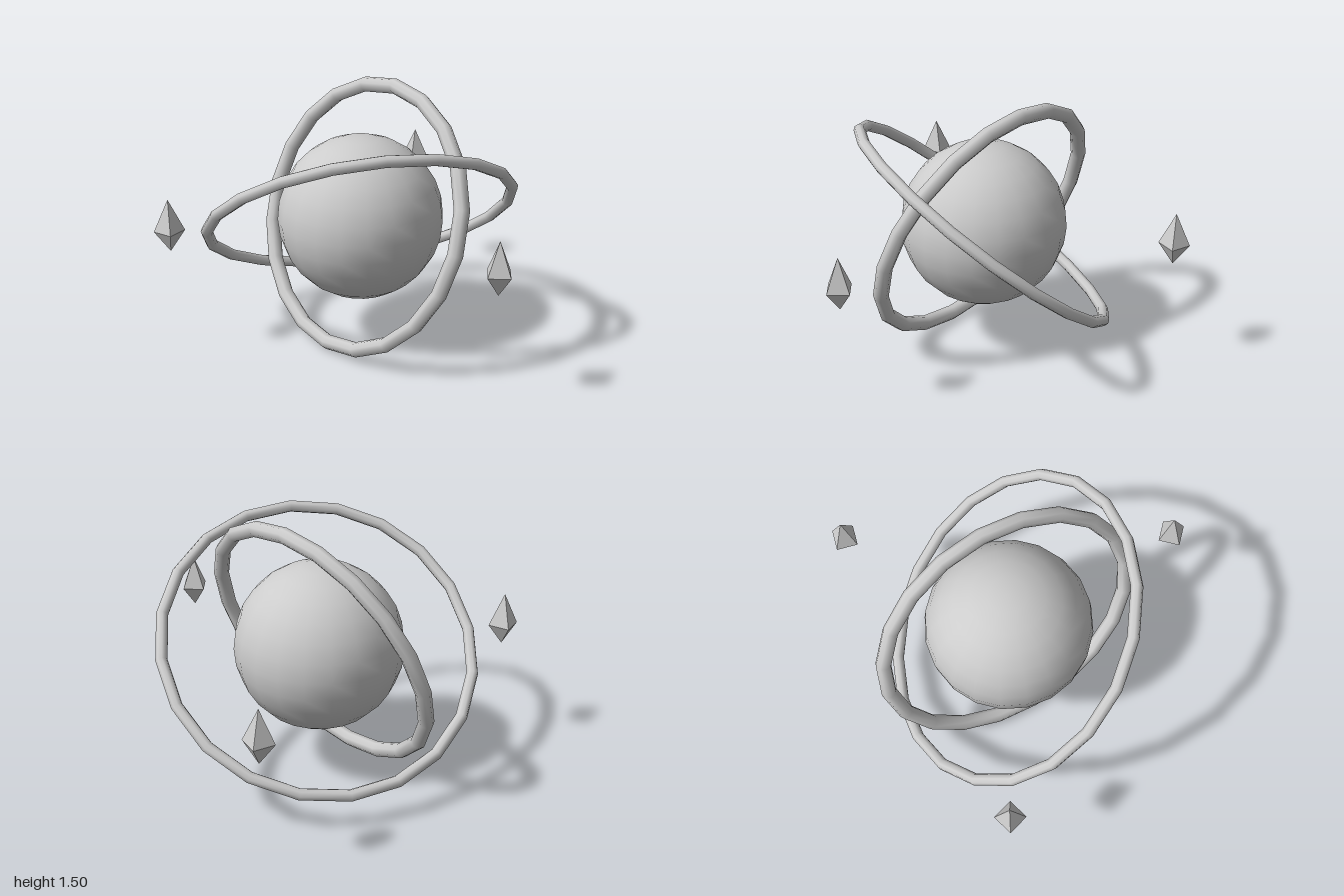
import * as THREE from 'three';

const grey = new THREE.MeshStandardMaterial({ color: 0xcccccc });
grey.name = 'plain grey';

function part(name, geometry) {
  const mesh = new THREE.Mesh(geometry, grey);
  mesh.name = name;
  return mesh;
}

// Four-sided crystal with a longer upper point and flat facets
function crystalGeometry() {
  const profile = [[0, -0.12], [0.085, 0], [0, 0.183]].map(([x, y]) => new THREE.Vector2(x, y));
  const geometry = new THREE.LatheGeometry(profile, 4).toNonIndexed();
  geometry.computeVertexNormals();
  return geometry;
}

export function createModel() {
  const model = new THREE.Group();
  model.name = 'ringedOrb';

  // Everything is arranged around the orb's centre
  const core = new THREE.Group();
  core.name = 'orbAssembly';
  core.position.set(-0.18, 0.755, 0);
  model.add(core);

  core.add(part('orb', new THREE.SphereGeometry(0.469, 20, 14)));

  // Upright ring leaning back
  const innerRing = part('innerRing', new THREE.TorusGeometry(0.755, 0.043, 8, 20));
  innerRing.rotation.x = -0.35;
  core.add(innerRing);

  // Wider, thinner ring tilted on two axes
  const outerRing = part('outerRing', new THREE.TorusGeometry(0.869, 0.033, 8, 20));
  outerRing.rotation.set(1.2, 0.6, 0);
  core.add(outerRing);

  // Three crystals spaced evenly around the orb
  const crystal = crystalGeometry();
  for (let i = 0; i < 3; i++) {
    const orbit = new THREE.Group();
    orbit.name = 'crystalOrbit' + (i + 1);
    orbit.rotation.y = (i * Math.PI * 2) / 3;
    const mesh = part('crystal' + (i + 1), crystal);
    mesh.position.x = 1.07;
    orbit.add(mesh);
    core.add(orbit);
  }
  return model;
}
